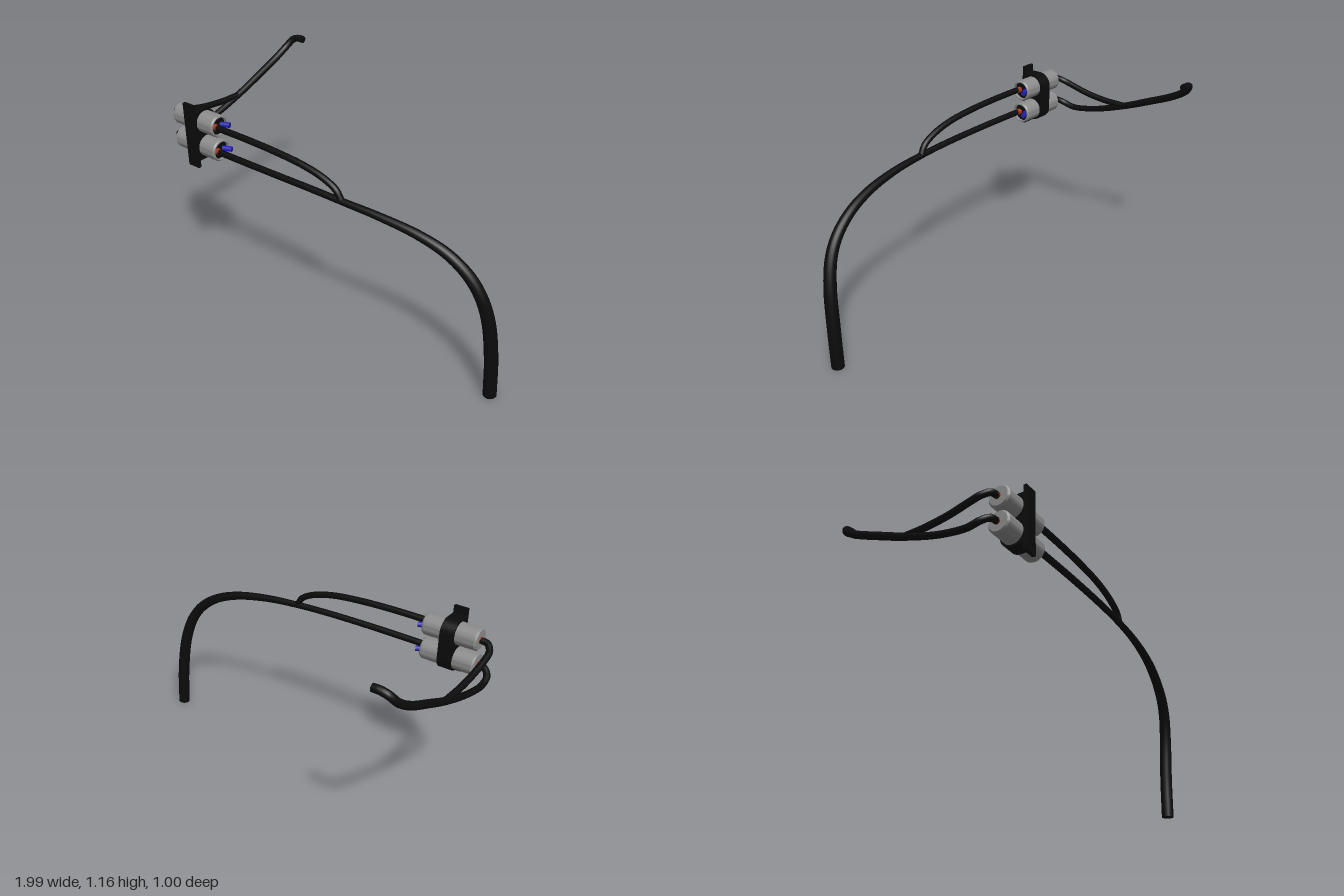
import * as THREE from 'three';
import { toCreasedNormals } from 'three/addons/utils/BufferGeometryUtils.js';

const material = (name, color) => {
  const m = new THREE.MeshStandardMaterial({ color });
  m.name = name;
  return m;
};

export function createModel() {
  const rubber = material('black rubber', 0x0b0b0b);
  const metal = material('grey metal', 0x8c8c8c);
  const blue = material('blue connector', 0x2020a8);
  const red = material('red collar', 0xa03a20);

  const model = new THREE.Group();
  model.name = 'twinHoseAssembly';

  const add = (name, geometry, mat, parent = model) => {
    const mesh = new THREE.Mesh(geometry, mat);
    mesh.name = name;
    parent.add(mesh);
    return mesh;
  };

  // Capped hose whose radius runs from r0 to r1 between the fractions t0 and t1
  const hose = (name, points, r0, r1 = r0, t0 = 0, t1 = 1, segments = 64) => {
    const curve = new THREE.CatmullRomCurve3(points.map((p) => new THREE.Vector3(...p)));
    const sides = 16;
    const geometry = new THREE.TubeGeometry(curve, segments, 1, sides);
    const pos = geometry.attributes.position;
    const v = new THREE.Vector3();
    const radiusAt = (t) => THREE.MathUtils.lerp(r0, r1, THREE.MathUtils.smoothstep(t, t0, t1));
    for (let i = 0; i <= segments; i++) {
      const centre = curve.getPointAt(i / segments);
      for (let j = 0; j <= sides; j++) {
        const k = i * (sides + 1) + j;
        v.fromBufferAttribute(pos, k).sub(centre).multiplyScalar(radiusAt(i / segments)).add(centre);
        pos.setXYZ(k, v.x, v.y, v.z);
      }
    }
    const group = new THREE.Group();
    group.name = name;
    model.add(group);
    add('hoseWall', geometry, rubber, group);
    for (const t of [0, 1]) {
      const cap = add('hoseEnd', new THREE.CircleGeometry(radiusAt(t), sides), rubber, group);
      cap.position.copy(curve.getPointAt(t));
      const out = curve.getTangentAt(t).multiplyScalar(t ? 1 : -1);
      cap.quaternion.setFromUnitVectors(new THREE.Vector3(0, 0, 1), out);
    }
  };

  // Canister: closed at -x, recessed dark socket at +x
  const profile = [
    [0, -0.146], [0.05, -0.146], [0.058, -0.137], [0.058, 0.138],
    [0.053, 0.146], [0.047, 0.146], [0.047, 0.126],
  ].map((p) => new THREE.Vector2(...p));
  const shell = toCreasedNormals(new THREE.LatheGeometry(profile, 40).rotateZ(-Math.PI / 2), 0.5);
  const collar = new THREE.CylinderGeometry(0.0165, 0.0165, 0.03, 16).rotateZ(Math.PI / 2);

  for (const y of [0.985, 0.851]) {
    const canister = new THREE.Group();
    canister.name = y > 0.9 ? 'upperCanister' : 'lowerCanister';
    canister.position.set(-0.748, y, 0.423);
    model.add(canister);
    add('shell', shell, metal, canister);
    const socket = add('socketFloor', new THREE.CircleGeometry(0.0475, 32), rubber, canister);
    socket.rotation.y = Math.PI / 2;
    socket.position.x = 0.128;
    add('inletCollar', collar, red, canister).position.set(-0.147, 0, -0.004);
    add('outletCollar', collar, red, canister).position.set(0.141, 0, 0.02);
    // Slanted blue plug
    const plug = add('plug', new THREE.CylinderGeometry(0.014, 0.014, 0.05, 16), blue, canister);
    plug.position.set(0.15, 0, -0.032);
    plug.quaternion.setFromUnitVectors(
      new THREE.Vector3(0, 1, 0), new THREE.Vector3(0.9, 0, -0.42).normalize());
  }

  // Clamp block with rounded back corners, drawn in (z, y) and extruded along x
  const clampShape = new THREE.Shape();
  const back = 0.354, front = 0.482, low = 0.783, high = 1.052, r = 0.068;
  clampShape.moveTo(-front, low);
  clampShape.lineTo(-back - r, low);
  clampShape.absarc(-back - r, low + r, r, -Math.PI / 2, 0, false);
  clampShape.absarc(-back - r, high - r, r, 0, Math.PI / 2, false);
  clampShape.lineTo(-front, high);
  const clamp = new THREE.ExtrudeGeometry(clampShape, { depth: 0.074, bevelEnabled: false, curveSegments: 16 });
  clamp.rotateY(Math.PI / 2).translate(-0.783, 0, 0);
  add('clampBlock', clamp, rubber);
  add('mountingPlate', new THREE.BoxGeometry(0.074, 0.345, 0.017), rubber)
    .position.set(-0.746, 0.9175, 0.488);

  // Long outlet hose, thickening as it drops to the ground
  hose('outletHose', [
    [-0.594, 0.851, 0.445], [-0.3, 0.851, 0.444], [0, 0.848, 0.437], [0.2, 0.841, 0.428],
    [0.4, 0.828, 0.411], [0.6, 0.795, 0.385], [0.74, 0.742, 0.362], [0.84, 0.665, 0.344],
    [0.9, 0.575, 0.328], [0.94, 0.44, 0.307], [0.96, 0.22, 0.286], [0.965, 0, 0.278],
  ], 0.017, 0.033, 0.3, 0.9, 96);

  // Upper outlet branch joining the long hose
  hose('outletBranch', [
    [-0.594, 0.986, 0.445], [-0.4, 0.985, 0.444], [-0.2, 0.977, 0.442], [-0.03, 0.96, 0.438],
    [0.09, 0.93, 0.433], [0.165, 0.89, 0.43], [0.193, 0.845, 0.428],
  ], 0.017);

  // Inlet hose sweeping back and up to the free end
  hose('inletHose', [
    [-0.9, 0.851, 0.419], [-0.935, 0.847, 0.415], [-0.965, 0.828, 0.385], [-0.973, 0.811, 0.32],
    [-0.972, 0.823, 0.22], [-0.97, 0.85, 0.11], [-0.969, 0.905, -0.05], [-0.967, 0.97, -0.21],
    [-0.964, 1.035, -0.36], [-0.953, 1.085, -0.44], [-0.925, 1.127, -0.474],
    [-0.89, 1.138, -0.48], [-0.854, 1.138, -0.48],
  ], 0.017, 0.02, 0.3, 0.65, 96);

  // Upper inlet branch joining behind the clamp
  hose('inletBranch', [
    [-0.9, 0.985, 0.419], [-0.935, 0.981, 0.413], [-0.962, 0.963, 0.38], [-0.969, 0.945, 0.32],
    [-0.97, 0.92, 0.21], [-0.97, 0.906, 0.08], [-0.969, 0.905, -0.05],
  ], 0.017);

  return model;
}
